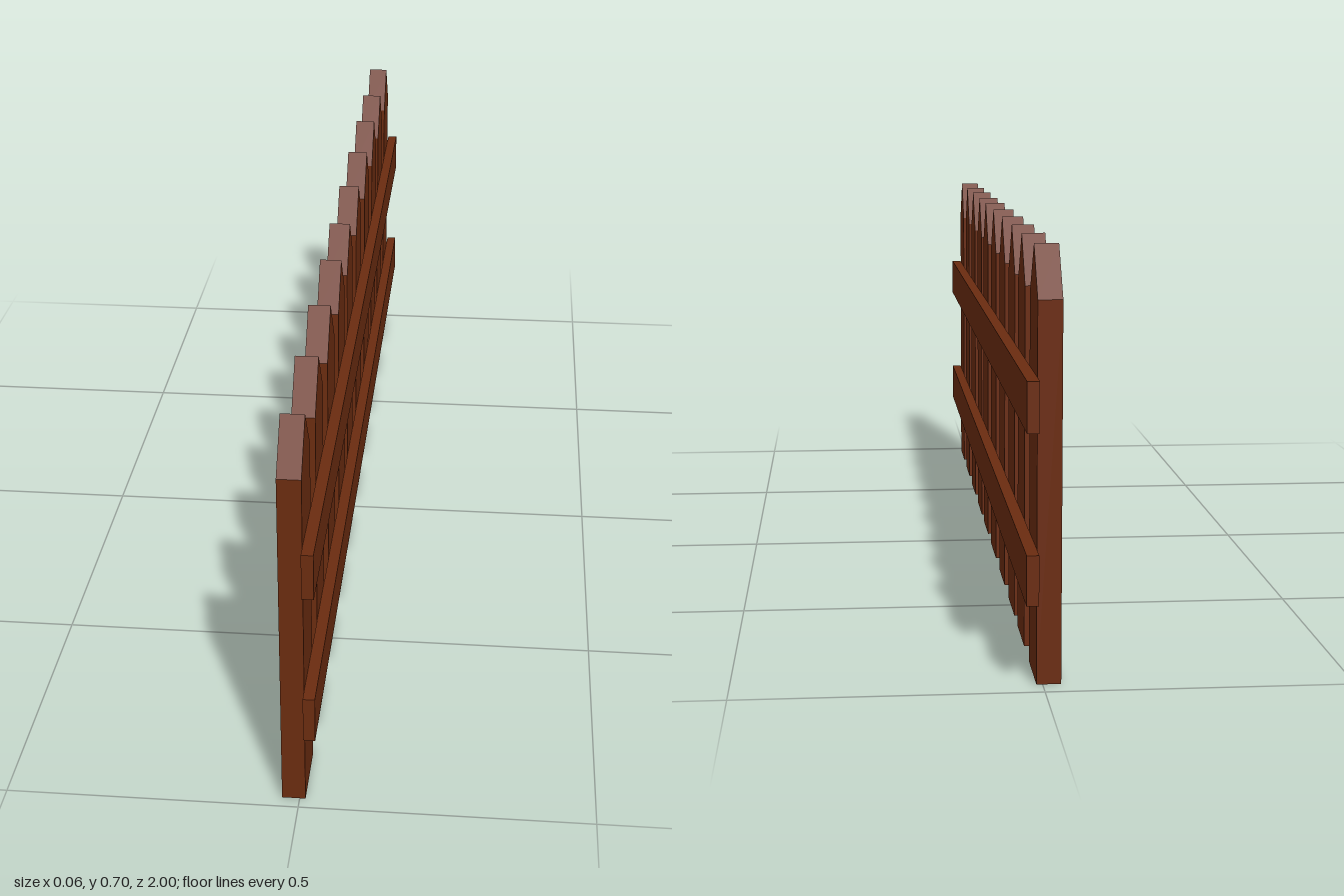
import * as THREE from 'three';

export function createModel() {
  const fence = new THREE.Group();
  fence.name = 'picketFence';
  const wood = new THREE.MeshStandardMaterial({ color: 0x6b2c10, flatShading: true });

  // Pointed picket outline, extruded through its thickness and turned to face +x
  const half = 0.062;
  const outline = new THREE.Shape([
    new THREE.Vector2(-half, 0),
    new THREE.Vector2(half, 0),
    new THREE.Vector2(half, 0.62),
    new THREE.Vector2(0, 0.703),
    new THREE.Vector2(-half, 0.62),
  ]);
  const picketGeometry = new THREE.ExtrudeGeometry(outline, { depth: 0.04, bevelEnabled: false });
  picketGeometry.rotateY(Math.PI / 2).translate(-0.03, 0, 0);

  // Slightly unevenly spaced pickets
  const centres = [0.915, 0.708, 0.502, 0.296, 0.114, -0.093, -0.301, -0.507, -0.694, -0.9];
  centres.forEach((z, i) => {
    const picket = new THREE.Mesh(picketGeometry, wood);
    picket.name = `picket${i + 1}`;
    picket.position.z = z;
    fence.add(picket);
  });

  // Two long rails fixed to the +x side
  const railGeometry = new THREE.BoxGeometry(0.02, 0.082, 2);
  for (const [name, y] of [['lowerRail', 0.181], ['upperRail', 0.457]]) {
    const rail = new THREE.Mesh(railGeometry, wood);
    rail.name = name;
    rail.position.set(0.02, y, 0);
    fence.add(rail);
  }

  return fence;
}
